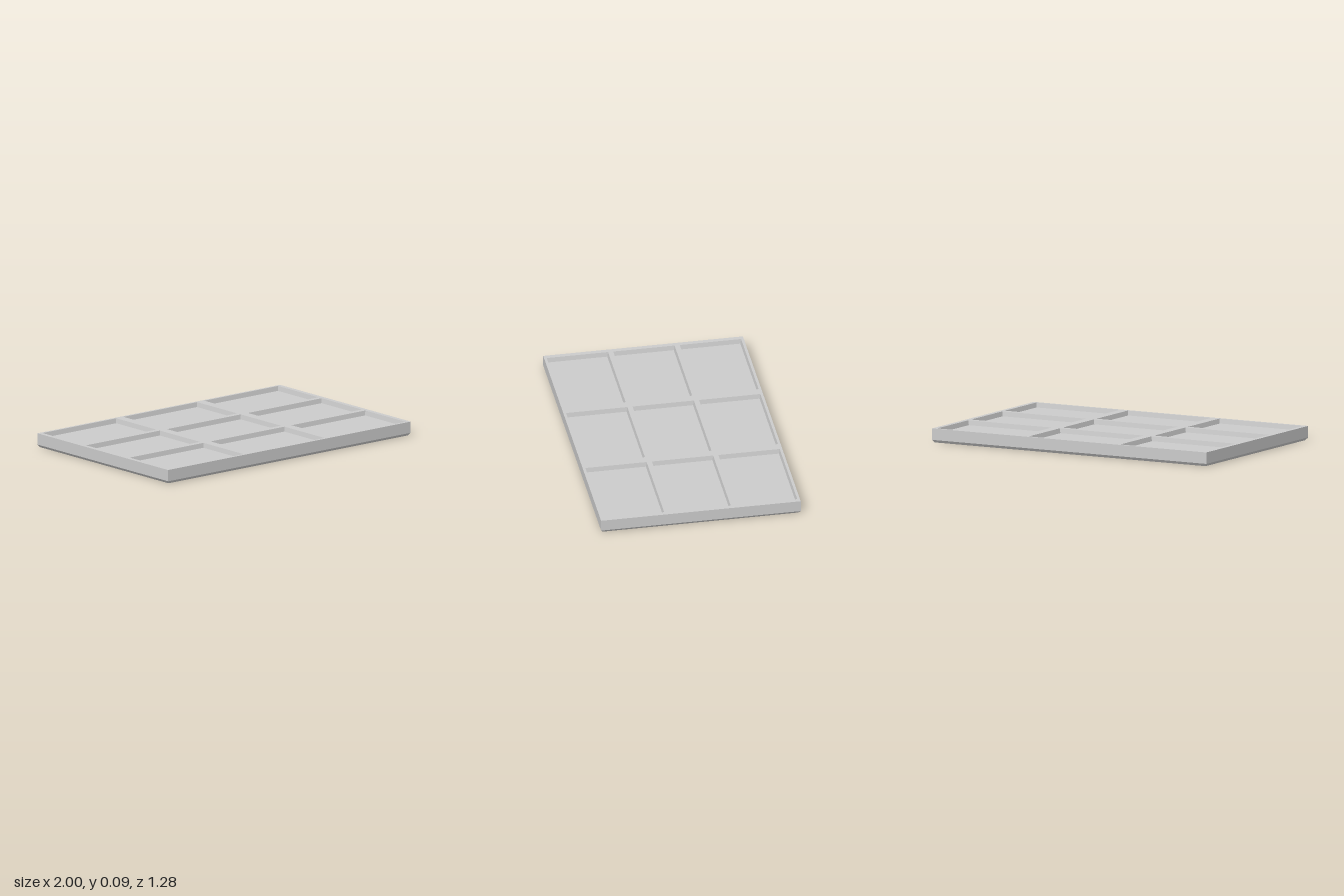
import * as THREE from 'three';

const material = new THREE.MeshStandardMaterial({ color: 0xcccccc, flatShading: true });

// Joins rectangular rings [half width, height, half depth] with flat bands;
// a ring of zero size closes the end.
function loftRectangles(rings) {
  const corners = [[-1, 1], [1, 1], [1, -1], [-1, -1]];
  const point = ([w, y, d], k) => [corners[k % 4][0] * w, y, corners[k % 4][1] * d];
  const positions = [];
  for (let i = 0; i < rings.length - 1; i++) {
    for (let k = 0; k < 4; k++) {
      const a = point(rings[i], k), b = point(rings[i], k + 1);
      const c = point(rings[i + 1], k + 1), d = point(rings[i + 1], k);
      if (rings[i][0] > 0) positions.push(...a, ...b, ...d);
      if (rings[i + 1][0] > 0) positions.push(...b, ...c, ...d);
    }
  }
  const geometry = new THREE.BufferGeometry();
  geometry.setAttribute('position', new THREE.Float32BufferAttribute(positions, 3));
  geometry.computeVertexNormals();
  return geometry;
}

export function createModel() {
  const group = new THREE.Group();
  const W = 1, D = 0.64, H = 0.09;
  const cellW = 0.304, cellD = 0.1965, pitchX = 0.667, pitchZ = 0.4265;
  const depth = 0.03, draft = 0.006;

  const add = (name, geometry, x = 0, z = 0) => {
    const mesh = new THREE.Mesh(geometry, material);
    mesh.name = name;
    mesh.position.set(x, 0, z);
    group.add(mesh);
  };

  // Base and outer sides, with a chamfered lower edge
  add('traySides', loftRectangles([
    [0, 0, 0], [W - 0.013, 0, D - 0.013], [W, 0.017, D], [W, H, D],
  ]));

  // Flat top grid, and a recess with slightly sloped walls in each opening
  const grid = new THREE.Shape([
    new THREE.Vector2(-W, -D), new THREE.Vector2(W, -D),
    new THREE.Vector2(W, D), new THREE.Vector2(-W, D),
  ]);
  const recess = loftRectangles([
    [cellW, H, cellD], [cellW - draft, H - depth, cellD - draft], [0, H - depth, 0],
  ]);
  for (let row = -1; row <= 1; row++) {
    for (let column = -1; column <= 1; column++) {
      const x = column * pitchX, z = row * pitchZ;
      grid.holes.push(new THREE.Path([
        new THREE.Vector2(x - cellW, -z - cellD), new THREE.Vector2(x - cellW, -z + cellD),
        new THREE.Vector2(x + cellW, -z + cellD), new THREE.Vector2(x + cellW, -z - cellD),
      ]));
      add('recess', recess, x, z);
    }
  }
  add('topGrid', new THREE.ShapeGeometry(grid).rotateX(-Math.PI / 2).translate(0, H, 0));

  return group;
}
